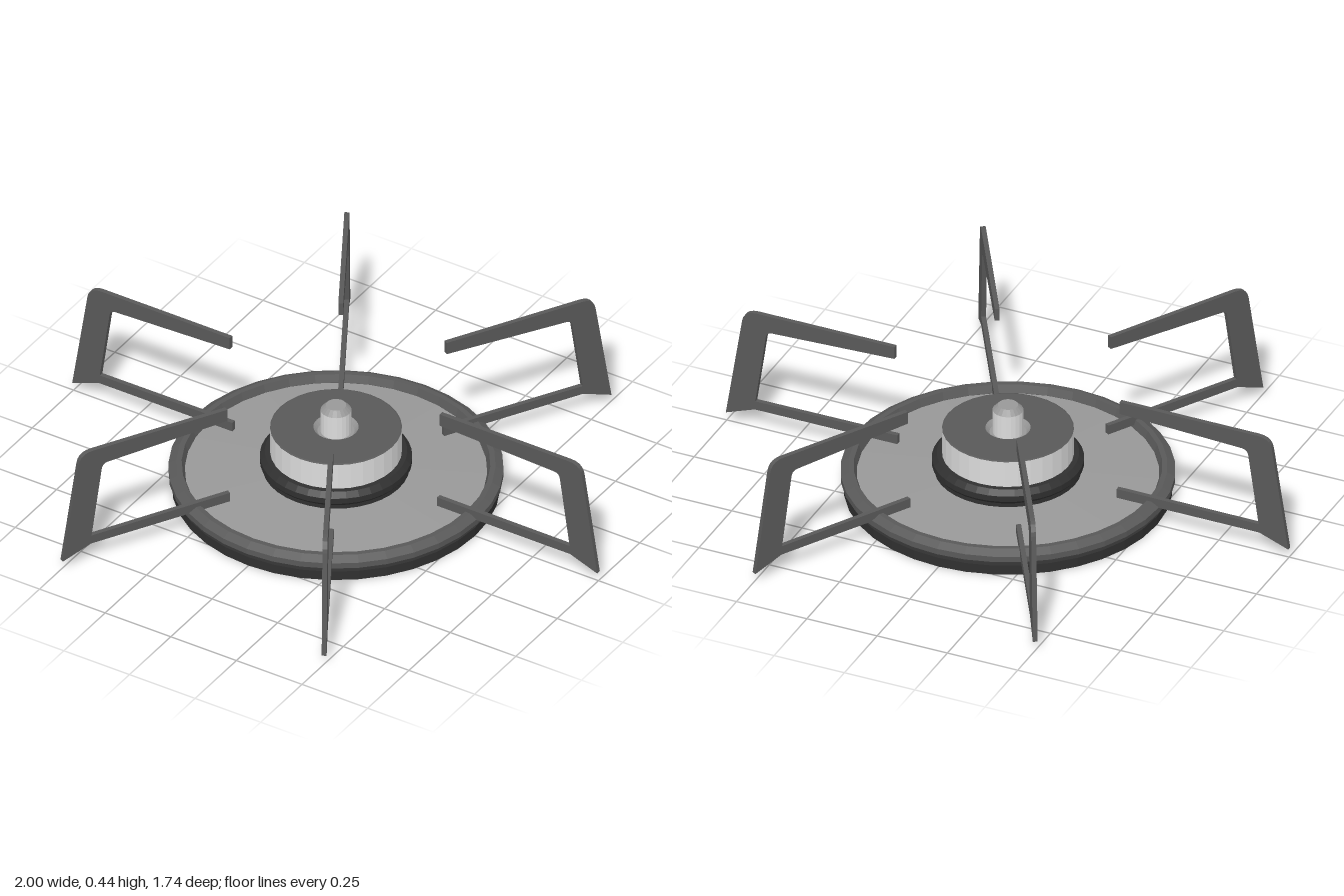
import * as THREE from 'three';

const mat = (name, color) => {
  const m = new THREE.MeshStandardMaterial({ color, flatShading: true });
  m.name = name;
  return m;
};

export function createModel() {
  const iron = mat('dark grey iron', 0x595959);
  const black = mat('black enamel', 0x303030);
  const steel = mat('grey steel', 0x989898);
  const aluminium = mat('light aluminium', 0xdcdcdc);

  const group = new THREE.Group();
  group.name = 'gasBurner';

  const add = (name, geometry, material, parent = group) => {
    const mesh = new THREE.Mesh(geometry, material);
    mesh.name = name;
    parent.add(mesh);
    return mesh;
  };
  // Turned parts: profile runs up the outside and back in
  const turned = (name, profile, material, segments = 36) =>
    add(name, new THREE.LatheGeometry(profile.map(([r, y]) => new THREE.Vector2(r, y)), segments), material);

  // Base disc with a dark edge, and a narrow gap below the drip pan
  turned('baseDisc', [[0, 0], [0.53, 0]], steel);
  turned('baseEdge', [[0.53, 0], [0.53, 0.033], [0, 0.033]], black);

  // Drip pan, rising slightly to the middle, and its raised rim
  turned('panRim', [
    [0.488, 0.041], [0.53, 0.041], [0.541, 0.053], [0.541, 0.073],
    [0.515, 0.088], [0.498, 0.088], [0.488, 0.062], [0.488, 0.041],
  ], iron);
  turned('panFloor', [[0, 0.072], [0.2, 0.072], [0.489, 0.055], [0.489, 0.061], [0.2, 0.078]], steel);

  // Burner seat, cap, cap plate and central pin
  turned('burnerSeat', [
    [0.238, 0.074], [0.238, 0.09], [0.246, 0.1],
    [0.246, 0.12], [0.23, 0.137], [0.2, 0.137],
  ], black);
  turned('burnerCap', [[0.213, 0.137], [0.213, 0.23]], aluminium, 32);
  turned('capPlate', [[0.213, 0.23], [0.208, 0.232], [0.073, 0.232]], iron, 32);
  turned('capRecess', [[0.073, 0.232], [0.06, 0.216], [0, 0.216]], steel, 32);
  turned('burnerPin', [[0.05, 0.212], [0.05, 0.3]], aluminium, 20);
  turned('pinTip', [[0.05, 0.3], [0.033, 0.318], [0, 0.318]], steel, 20);

  // Pan support: a bracket with top bar, leaning leg and lower bar
  const shape = new THREE.Shape();
  shape.moveTo(0.39, 0.071);
  shape.lineTo(0.897, 0.071);
  shape.lineTo(1, 0.033);
  shape.lineTo(0.942, 0.395);
  shape.quadraticCurveTo(0.936, 0.435, 0.89, 0.435);
  shape.lineTo(0.4, 0.435);
  shape.lineTo(0.4, 0.391);
  shape.lineTo(0.835, 0.374);
  shape.quadraticCurveTo(0.855, 0.373, 0.858, 0.353);
  shape.lineTo(0.895, 0.102);
  shape.lineTo(0.39, 0.104);
  shape.closePath();
  const thickness = 0.016;
  const bracket = new THREE.ExtrudeGeometry(shape, { depth: thickness, bevelEnabled: false, curveSegments: 5 });
  bracket.translate(0, 0, -thickness / 2);

  const supports = new THREE.Group();
  supports.name = 'panSupports';
  group.add(supports);
  for (let i = 0; i < 6; i++) {
    add(`supportArm${i + 1}`, bracket, iron, supports).rotation.y = (i * Math.PI) / 3;
  }

  return group;
}
